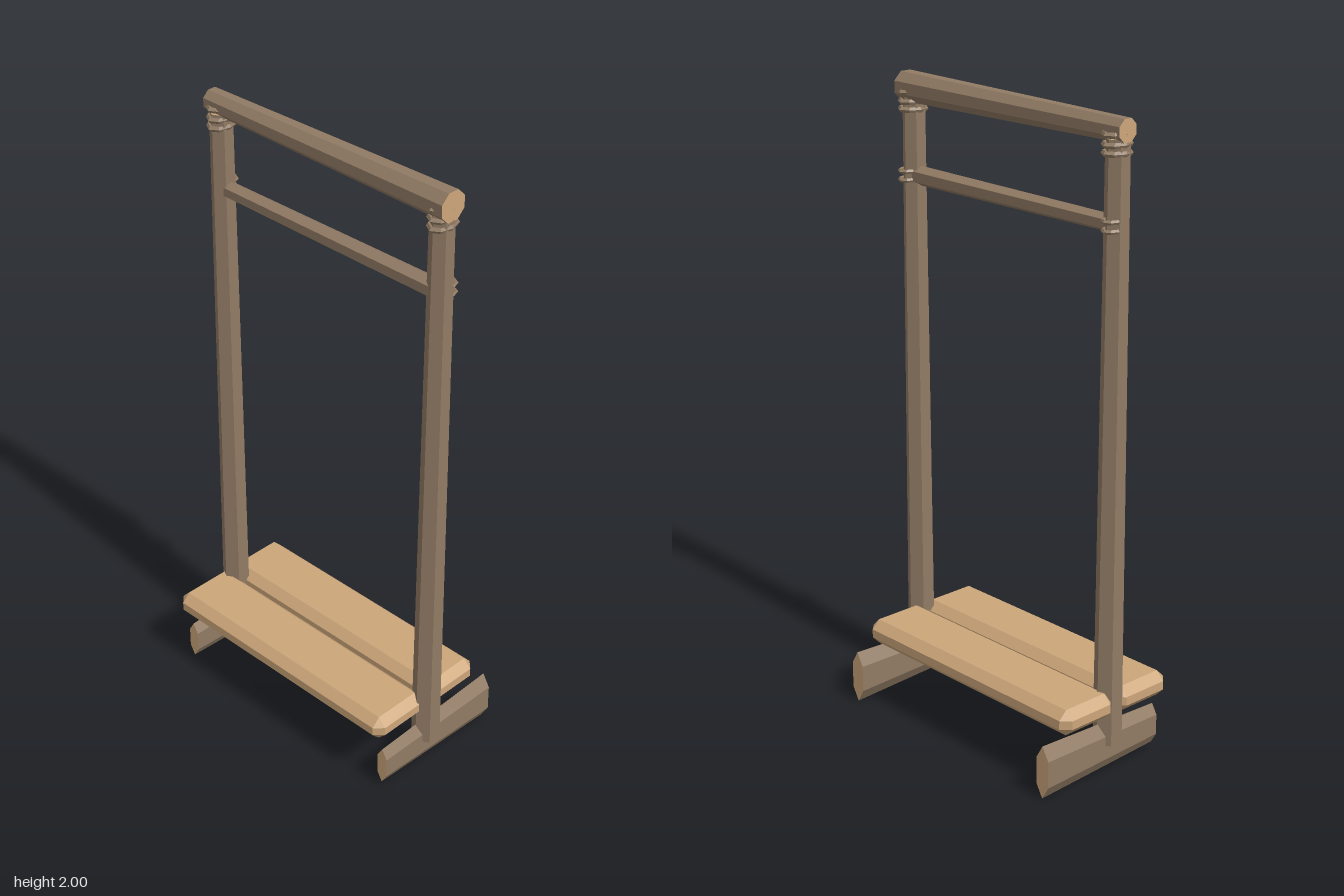
import * as THREE from 'three';
import { ConvexGeometry } from 'three/addons/geometries/ConvexGeometry.js';

export function createModel() {
  const model = new THREE.Group();
  model.name = 'woodenFrame';

  const bark = new THREE.MeshStandardMaterial({ color: 0x917b64 });
  bark.name = 'bark brown';
  const cut = new THREE.MeshStandardMaterial({ color: 0xcca67a });
  cut.name = 'cut wood tan';

  const flat = (geo) => {
    const g = geo.toNonIndexed();
    g.computeVertexNormals();
    return g;
  };

  const add = (name, geo, material, x, y, z) => {
    const mesh = new THREE.Mesh(geo, material);
    mesh.name = name;
    mesh.position.set(x, y, z);
    model.add(mesh);
    return mesh;
  };

  // Faceted tapering log along y, with cut ends in the lighter wood
  const log = (rTop, rBottom, length, sides, turn) =>
    new THREE.CylinderGeometry(rTop, rBottom, length, sides, 1, false, turn);
  const logMaterials = [bark, cut, cut];

  // Box with every edge and corner chamfered
  const chamferedBox = (w, h, d, c) => {
    const pts = [];
    for (const sx of [-1, 1]) for (const sy of [-1, 1]) for (const sz of [-1, 1]) {
      for (let k = 0; k < 3; k++) {
        pts.push(new THREE.Vector3(
          sx * (w / 2 - (k === 0 ? 0 : c)),
          sy * (h / 2 - (k === 1 ? 0 : c)),
          sz * (d / 2 - (k === 2 ? 0 : c))));
      }
    }
    return new ConvexGeometry(pts);
  };

  // Flat-lying rope loop, oval in plan
  const loop = (rx, rz, tube) => {
    const g = new THREE.TorusGeometry(rx - tube, tube, 5, 8);
    g.rotateX(Math.PI / 2);
    g.scale(1, 1, rz / rx);
    return flat(g);
  };

  const cx = -0.027;

  for (const [side, z] of [['front', 0.433], ['back', -0.423]]) {
    // Upright post
    add(side + 'Post', flat(log(0.036, 0.045, 1.835, 6, Math.PI / 6)), logMaterials, cx, 1.0125, z);

    // Flattened foot, wider at its +x end
    const foot = log(0.086, 0.066, 0.465, 6, Math.PI / 6);
    foot.rotateZ(-Math.PI / 2);
    foot.scale(1, 1, 0.336);
    add(side + 'Foot', flat(foot), logMaterials, 0.0125, 0.086, z - 0.002);

    // Lashings under the top beam
    [1.945, 1.915, 1.89].forEach((y, i) => {
      const ring = add(side + 'TopLashing' + (i + 1), loop(0.053, 0.038, 0.009), bark, cx + 0.003, y, z);
      ring.rotation.z = (i - 1) * 0.04;
    });

    // Lashings at the cross rail
    [1.703, 1.676].forEach((y, i) => {
      add(side + 'RailLashing' + (i + 1), loop(0.035, 0.029, 0.007), bark, -0.005, y, z + (z > 0 ? 0.004 : -0.004));
    });
  }

  // Top beam, thicker at the front
  const beam = log(0.048, 0.036, 0.93, 8, Math.PI / 8);
  beam.rotateX(Math.PI / 2);
  add('topBeam', flat(beam), logMaterials, cx, 1.955, 0.005);

  // Cross rail below the beam
  const rail = log(0.031, 0.026, 0.89, 6, 0);
  rail.rotateX(Math.PI / 2);
  add('crossRail', flat(rail), logMaterials, cx, 1.688, -0.003);

  // Two shelf planks with a groove between them
  for (const [name, x] of [['rightPlank', -0.139], ['leftPlank', 0.089]]) {
    add(name, chamferedBox(0.212, 0.082, 0.91, 0.027), cut, x, 0.229, -0.015);
  }

  return model;
}
